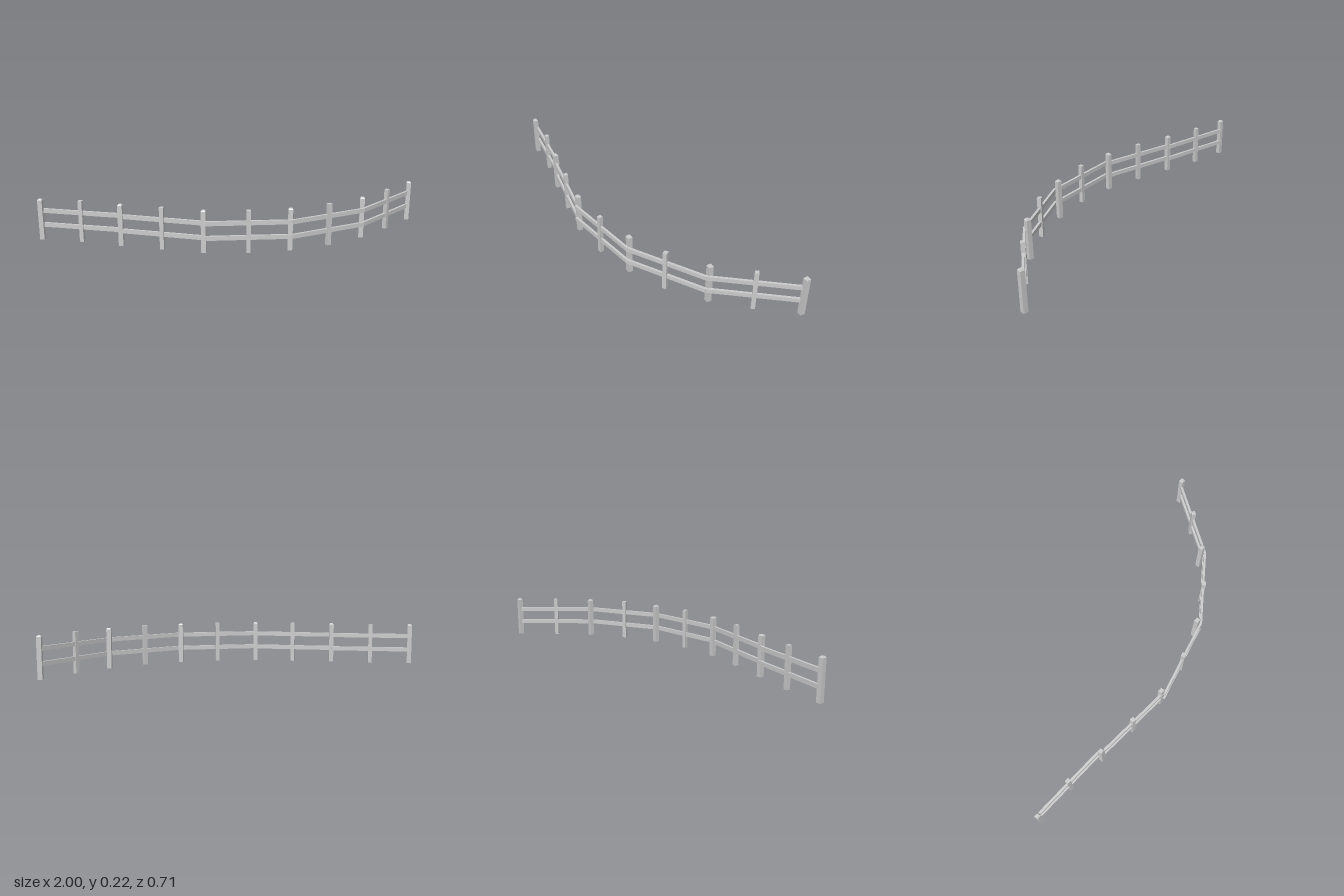
import * as THREE from 'three';

const GREY = new THREE.MeshStandardMaterial({ color: 0xcccccc, flatShading: true });
const HEIGHT = 0.225, SHOULDER = 0.218, POST = 0.025, STAKE = 0.022;
const RAIL_H = 0.023, RAIL_T = 0.013, RAIL_LEVELS = [0.08, 0.158];

// Square post whose top edge is bevelled on all four sides
function mainPost(x, z) {
  const geo = new THREE.BoxGeometry(POST, HEIGHT, POST, 1, 2, 1).translate(0, HEIGHT / 2, 0);
  const p = geo.attributes.position;
  for (let i = 0; i < p.count; i++) {
    if (p.getY(i) > HEIGHT * 0.9) p.setXYZ(i, p.getX(i) * 0.6, HEIGHT, p.getZ(i) * 0.6);
    else if (p.getY(i) > 0.01) p.setY(i, SHOULDER);
  }
  geo.computeVertexNormals();
  const mesh = new THREE.Mesh(geo, GREY);
  mesh.name = 'mainPost';
  mesh.position.set(x, 0, z);
  return mesh;
}

// One fence bay: two rails and a slimmer post halfway, turned along the bay
function bay([x1, z1, x2, z2]) {
  const group = new THREE.Group();
  group.name = 'fenceBay';
  group.position.set((x1 + x2) / 2, 0, (z1 + z2) / 2);
  group.rotation.y = -Math.atan2(z2 - z1, x2 - x1);
  const length = Math.hypot(x2 - x1, z2 - z1);
  for (const y of RAIL_LEVELS) {
    const rail = new THREE.Mesh(new THREE.BoxGeometry(length, RAIL_H, RAIL_T), GREY);
    rail.name = 'rail';
    rail.position.y = y;
    group.add(rail);
  }
  const post = new THREE.Mesh(new THREE.BoxGeometry(STAKE, HEIGHT, STAKE), GREY);
  post.name = 'middlePost';
  post.position.y = HEIGHT / 2;
  group.add(post);
  return group;
}

export function createModel() {
  const fence = new THREE.Group();
  fence.name = 'curvedFence';

  // Main posts at the joints of the curve: x, z
  const posts = [[-0.987, 0.238], [-0.543, 0.281], [-0.1, 0.33], [0.335, 0.243], [0.706, 0.004], [0.987, -0.343]];
  for (const [x, z] of posts) fence.add(mainPost(x, z));

  // Bays between them: start x, z and end x, z
  const bays = [
    [-0.987, 0.228, -0.543, 0.268],
    [-0.543, 0.282, -0.094, 0.338],
    [-0.094, 0.348, 0.345, 0.263],
    [0.345, 0.265, 0.716, 0.024],
    [0.714, 0.024, 0.985, -0.346],
  ];
  for (const b of bays) fence.add(bay(b));
  return fence;
}
